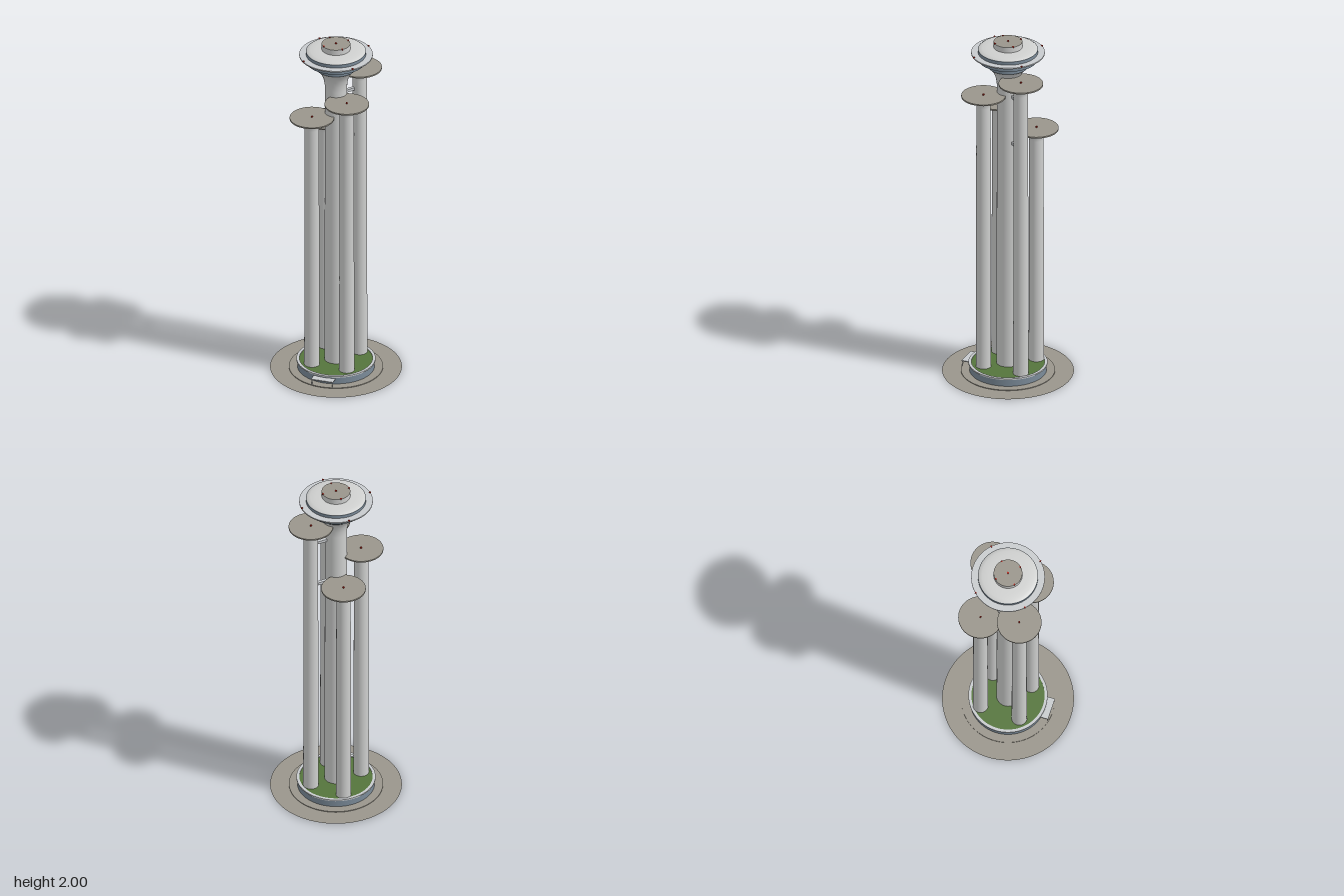
import * as THREE from 'three';

const mat = (name, color, side = THREE.FrontSide) => {
  const m = new THREE.MeshStandardMaterial({ color, side });
  m.name = name;
  return m;
};

export function createModel() {
  const concrete = mat('pale concrete', 0xcfd0cf, THREE.DoubleSide);
  const trim = mat('light trim', 0xc8cbce, THREE.DoubleSide);
  const slate = mat('slate glass', 0x7b8b99, THREE.DoubleSide);
  const paving = mat('taupe paving', 0x9a968c, THREE.DoubleSide);
  const grass = mat('grass', 0x55753c);
  const red = mat('beacon red', 0xb5261a);

  const model = new THREE.Group();
  model.name = 'tower';

  const add = (name, geo, material, x = 0, y = 0, z = 0, parent = model) => {
    const mesh = new THREE.Mesh(geo, material);
    mesh.name = name;
    mesh.position.set(x, y, z);
    parent.add(mesh);
    return mesh;
  };
  const lathe = (pts, seg = 48) =>
    new THREE.LatheGeometry(pts.map(([r, y]) => new THREE.Vector2(r, y)), seg);
  const drum = (r, h, seg = 64, open = false) => new THREE.CylinderGeometry(r, r, h, seg, 1, open);
  const flatRing = (inner, outer) => new THREE.RingGeometry(inner, outer, 72).rotateX(-Math.PI / 2);
  const disc = (r) => new THREE.CircleGeometry(r, 64).rotateX(-Math.PI / 2);
  // square-edged band of rectangular section
  const band = (inner, outer, h) => {
    const shape = new THREE.Shape().absarc(0, 0, outer, 0, Math.PI * 2);
    shape.holes.push(new THREE.Path().absarc(0, 0, inner, 0, Math.PI * 2, true));
    return new THREE.ExtrudeGeometry(shape, { depth: h, bevelEnabled: false, curveSegments: 48 })
      .rotateX(-Math.PI / 2);
  };
  const beacon = (x, y, z, s = 0.008) => add('beacon', new THREE.BoxGeometry(s, s, s), red, x, y, z);

  // Plaza and its low step
  add('plaza', flatRing(0.21, 0.358), paving, 0, 0.001, 0);
  add('plazaStep', band(0.21, 0.256, 0.004), paving, 0, 0.002, 0);

  // Podium: hollow drum, roof slab, garden and rim
  add('podiumWall', drum(0.21, 0.046, 64, true), slate, 0, 0.023, 0);
  add('podiumRoof', disc(0.21), slate, 0, 0.045, 0);
  add('podiumGarden', disc(0.2), grass, 0, 0.05, 0);
  add('podiumRim', band(0.199, 0.215, 0.008), trim, 0, 0.046, 0);

  // Entrance canopy on two posts
  add('canopy', new THREE.BoxGeometry(0.124, 0.005, 0.05), trim, 0, 0.037, 0.223);
  for (const s of [-1, 1])
    add('canopyPost', new THREE.CylinderGeometry(0.002, 0.002, 0.035, 8), trim, s * 0.058, 0.0175, 0.245);

  // Four outer columns with flared saucer caps: x, z, top height
  const columns = [
    [-0.106, 0.098, 1.572],
    [0.095, 0.104, 1.692],
    [0.097, -0.118, 1.808],
    [-0.1, -0.125, 1.452],
  ];
  for (const [x, z, top] of columns) {
    const column = new THREE.Group();
    column.name = 'column';
    column.position.set(x, 0, z);
    model.add(column);
    add('columnShaft', lathe([
      [0.042, 0.046], [0.039, top - 0.07], [0.041, top - 0.045], [0.048, top - 0.033],
      [0.062, top - 0.023], [0.085, top - 0.015], [0.119, top - 0.008],
    ]), concrete, 0, 0, 0, column);
    add('columnCap', drum(0.121, 0.008), paving, 0, top - 0.004, 0, column);
    beacon(x, top + 0.004, z);
  }

  // Link bridges between the core and the tallest column
  const [lx, lz] = columns[2];
  const span = Math.hypot(lx, lz);
  for (const y of [1.405, 1.685]) {
    const bridge = add('linkBridge', new THREE.BoxGeometry(0.018, 0.016, span), trim, lx / 2, y, lz / 2);
    bridge.rotation.y = Math.atan2(lx, lz);
  }

  // Central core flaring into the observation pod
  add('core', lathe([
    [0.063, 0.046], [0.06, 1.72], [0.062, 1.755], [0.069, 1.787], [0.081, 1.815],
    [0.096, 1.835], [0.111, 1.848],
  ]), concrete);
  add('podLower', drum(0.111, 0.045), slate, 0, 1.8705, 0);
  add('podUpper', drum(0.163, 0.06), slate, 0, 1.92, 0);
  add('podDeck', band(0.16, 0.2, 0.007), trim, 0, 1.924, 0);
  add('podRoof', lathe([
    [0.163, 1.948], [0.157, 1.954], [0.14, 1.959], [0.11, 1.962], [0.078, 1.963],
  ].reverse(), 64), concrete);
  add('crown', drum(0.078, 0.042, 64, true), concrete, 0, 1.974, 0);
  add('crownRoof', disc(0.078), paving, 0, 1.995, 0);

  // Beacons on the crown and deck rim
  beacon(0, 1.995, 0, 0.01);
  for (const sx of [-1, 1])
    for (const sz of [-1, 1]) {
      beacon(sx * 0.053, 1.994, sz * 0.053);
      beacon(sx * 0.14, 1.932, sz * 0.14);
    }

  return model;
}
